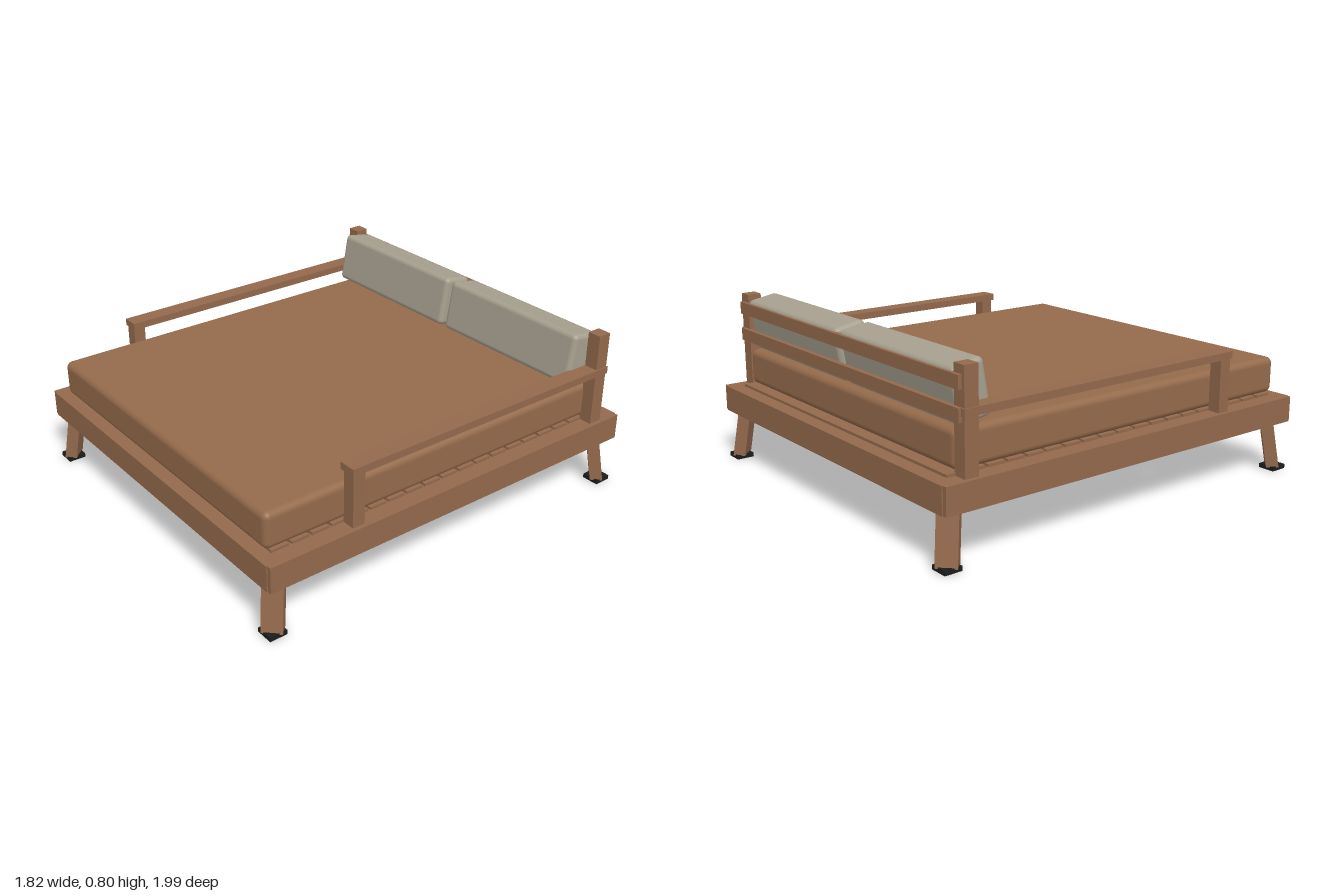
import * as THREE from 'three';
import { RoundedBoxGeometry } from 'three/addons/geometries/RoundedBoxGeometry.js';

const material = (name, color) => {
  const m = new THREE.MeshStandardMaterial({ color });
  m.name = name;
  return m;
};

export function createModel() {
  const model = new THREE.Group();
  model.name = 'daybed';
  const wood = material('brown wood', 0x93694c);
  const mattressCloth = material('brown mattress cloth', 0x946a4b);
  const cushionCloth = material('stone grey cloth', 0xa69f8e);
  const rubber = material('black rubber', 0x1b1c1c);

  const add = (name, geometry, mat) => {
    const mesh = new THREE.Mesh(geometry, mat);
    mesh.name = name;
    model.add(mesh);
    return mesh;
  };
  // Box given by its limits on each axis
  const box = (name, [x0, x1], [y0, y1], [z0, z1], mat = wood) => {
    const mesh = add(name, new THREE.BoxGeometry(x1 - x0, y1 - y0, z1 - z0), mat);
    mesh.position.set((x0 + x1) / 2, (y0 + y1) / 2, (z0 + z1) / 2);
    return mesh;
  };
  const mirrored = (s, a, b) => (s > 0 ? [a, b] : [-b, -a]);
  const sides = [-1, 1];

  // Thin aprons with a flat ledge around the top
  for (const s of sides) {
    box('sideApron', mirrored(s, 0.89, 0.91), [0.235, 0.355], [-0.985, 0.985]);
    box('endApron', [-0.89, 0.89], [0.235, 0.355], mirrored(s, 0.97, 0.99));
    box('sideLedge', mirrored(s, 0.81, 0.89), [0.333, 0.355], [-0.97, 0.97]);
    box('endLedge', [-0.81, 0.81], [0.333, 0.355], mirrored(s, 0.9, 0.97));
  }

  // Slatted deck
  const slatCount = 19, pitch = 0.098;
  for (let i = 0; i < slatCount; i++) {
    const z = (i - (slatCount - 1) / 2) * pitch;
    box('slat', [-0.83, 0.83], [0.34, 0.367], [z - 0.042, z + 0.042]);
  }

  // Legs face the corners and splay outwards; square feet below
  for (const sx of sides) for (const sz of sides) {
    const leg = new THREE.BoxGeometry(0.09, 0.235, 0.058);
    leg.rotateY(Math.atan2(sx, sz));
    leg.translate(0, 0.1325, 0);
    const p = leg.attributes.position;
    for (let i = 0; i < p.count; i++) {
      const t = (p.getY(i) - 0.015) / 0.235;
      p.setX(i, p.getX(i) + sx * (0.857 - 0.027 * t));
      p.setZ(i, p.getZ(i) + sz * (0.945 - 0.03 * t));
    }
    leg.computeVertexNormals();
    add('leg', leg, wood);
    box('foot', mirrored(sx, 0.817, 0.9), [0, 0.02], mirrored(sz, 0.905, 0.988), rubber);
  }

  // Back posts, arm posts and armrests
  for (const s of sides) {
    box('backPost', mirrored(s, 0.825, 0.89), [0.355, 0.795], [-0.883, -0.817]);
    box('armPost', mirrored(s, 0.83, 0.89), [0.355, 0.6], [0.513, 0.572]);
    box('armrest', mirrored(s, 0.814, 0.896), [0.597, 0.63], [-0.888, 0.578]);
  }

  // Back rails
  for (const y of [0.574, 0.701]) {
    box('backRail', [-0.875, 0.875], [y, y + 0.057], [-0.9, -0.877]);
  }

  // Mattress
  const mattress = add('mattress', new RoundedBoxGeometry(1.66, 0.168, 1.835, 4, 0.03), mattressCloth);
  mattress.position.set(0, 0.451, 0.0325);

  // Leaning back cushions
  for (const s of sides) {
    const cushion = add('backCushion', new RoundedBoxGeometry(0.81, 0.242, 0.155, 4, 0.024), cushionCloth);
    cushion.position.set(s * 0.418, 0.664, -0.794);
    cushion.rotation.x = -0.175;
  }

  return model;
}
